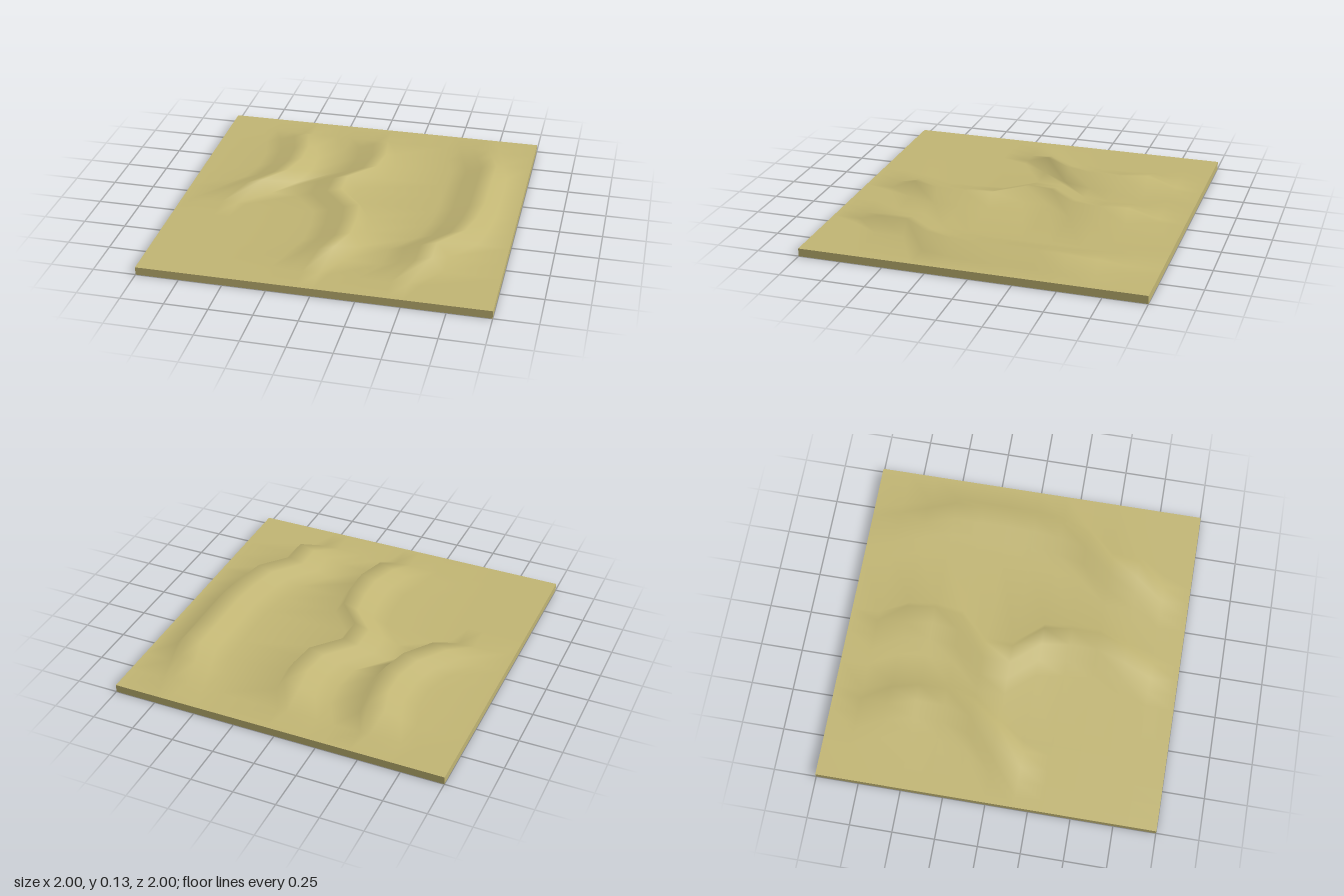
import * as THREE from 'three';

const BASE = 0.047, RISE = 0.083, ROWS = 12;

// Each ridge: crest x and height factor per row (first row index given), plus slip-face width
const ridges = [
  { first: 1, slip: 0.055, windward: 0.28,
    crest: [-0.5, -0.43, -0.385, -0.385, -0.43, -0.55, -0.66],
    height: [0, 1, 1, 1, 1, 1, 0] },
  { first: 1, slip: 0.055, windward: 0.28,
    crest: [0.0, 0.09, 0.113, 0.09, -0.055, -0.055, 0.09, 0.113, 0.113, 0.06, 0.01],
    height: [0, 1, 1, 1, 1, 1, 1, 1, 1, 1, 0] },
  { first: 0, slip: 0.068, windward: 0.28,
    crest: [0.67, 0.715, 0.757, 0.805, 0.805, 0.805, 0.805, 0.785, 0.745, 0.61, 0.61, 0.51],
    height: [0, 0.22, 0.62, 1, 1, 1, 1, 1, 1.05, 1, 1, 0] },
];

// Cross-section of the sand at one row: list of [x, y] from left to right
function section(row) {
  const pts = [[-1, BASE]];
  for (const r of ridges) {
    const i = THREE.MathUtils.clamp(row - r.first, 0, r.crest.length - 1);
    const inside = i === row - r.first;
    const x = r.crest[i];
    const h = inside ? r.height[i] * RISE : 0;
    const toe = x - r.windward;
    pts.push([toe, BASE]);
    for (const t of [1 / 3, 2 / 3, 1]) pts.push([toe + r.windward * t, BASE + h * t]);
    pts.push([x + r.slip, BASE]);
  }
  pts.push([1, BASE]);
  return pts;
}

// Smooth sand surface lofted through the cross-sections
function duneSurface() {
  const pos = [], index = [];
  let n = 0;
  for (let row = 0; row <= ROWS; row++) {
    const pts = section(row);
    n = pts.length;
    for (const [x, y] of pts) pos.push(x, y, -1 + (2 * row) / ROWS);
  }
  for (let r = 0; r < ROWS; r++) {
    for (let c = 0; c < n - 1; c++) {
      const a = r * n + c, b = a + n;
      index.push(a, b, a + 1, b, b + 1, a + 1);
    }
  }
  const g = new THREE.BufferGeometry();
  g.setAttribute('position', new THREE.Float32BufferAttribute(pos, 3));
  g.setIndex(index);
  g.computeVertexNormals();
  return g;
}

// Slab sides and underside, without the top face
function slab() {
  const g = new THREE.BoxGeometry(2, BASE, 2);
  g.translate(0, BASE / 2, 0);
  const idx = Array.from(g.index.array);
  idx.splice(12, 6);
  g.setIndex(idx);
  g.clearGroups();
  return g;
}

export function createModel() {
  const group = new THREE.Group();
  group.name = 'sandDunes';
  const sand = new THREE.MeshStandardMaterial({ color: 0xc2b674 });
  const parts = { duneSurface: duneSurface(), groundSlab: slab() };
  for (const [name, geometry] of Object.entries(parts)) {
    const mesh = new THREE.Mesh(geometry, sand);
    mesh.name = name;
    group.add(mesh);
  }
  return group;
}
